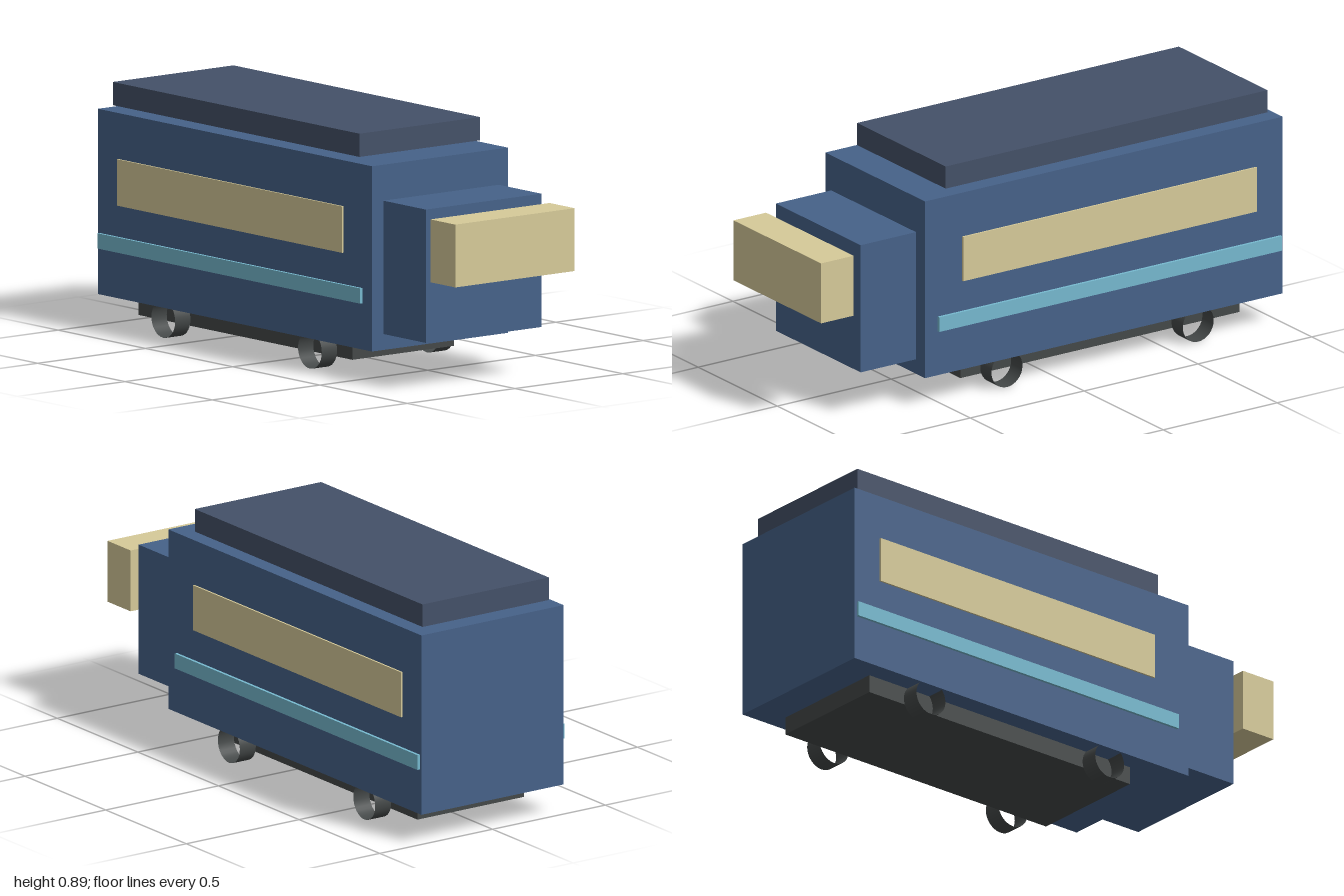
import * as THREE from 'three';

const paint = (color, side = THREE.FrontSide) => new THREE.MeshStandardMaterial({ color, side });

export function createModel() {
  const model = new THREE.Group();
  const blue = paint(0x466289), slate = paint(0x445168), cream = paint(0xd6ca99);
  const teal = paint(0x76b9cf), dark = paint(0x444848);
  const rubber = paint(0x444848, THREE.DoubleSide);

  // Box given by its extents along each axis
  function block(name, material, [x0, x1], [y0, y1], [z0, z1]) {
    const mesh = new THREE.Mesh(new THREE.BoxGeometry(x1 - x0, y1 - y0, z1 - z0), material);
    mesh.position.set((x0 + x1) / 2, (y0 + y1) / 2, (z0 + z1) / 2);
    mesh.name = name;
    model.add(mesh);
  }

  // Main blocks, separated by small gaps
  block('body', blue, [-1, 0.57], [0.112, 0.79], [-0.315, 0.315]);
  block('hood', blue, [0.577, 0.82], [0.172, 0.66], [-0.268, 0.268]);
  block('frontPanel', cream, [0.857, 1], [0.4, 0.63], [-0.277, 0.277]);
  block('roof', slate, [-0.958, 0.455], [0.805, 0.89], [-0.28, 0.28]);
  block('chassis', dark, [-0.865, 0.36], [0.045, 0.112], [-0.236, 0.236]);

  // Window band, stripe and open-ended wheels on both sides
  const wheel = new THREE.CylinderGeometry(0.068, 0.068, 0.071, 32, 1, true).rotateX(Math.PI / 2);
  for (const [side, s] of [['front', 1], ['back', -1]]) {
    const span = (a, b) => (s > 0 ? [a, b] : [-b, -a]);
    block(side + 'Window', cream, [-0.883, 0.407], [0.452, 0.622], span(0.305, 0.322));
    block(side + 'Stripe', teal, [-0.99, 0.515], [0.281, 0.337], span(0.305, 0.326));
    for (const x of [-0.635, 0.205]) {
      const mesh = new THREE.Mesh(wheel, rubber);
      mesh.position.set(x, 0.068, s * 0.272);
      mesh.name = side + (x < 0 ? 'RearWheel' : 'LeadWheel');
      model.add(mesh);
    }
  }
  return model;
}
